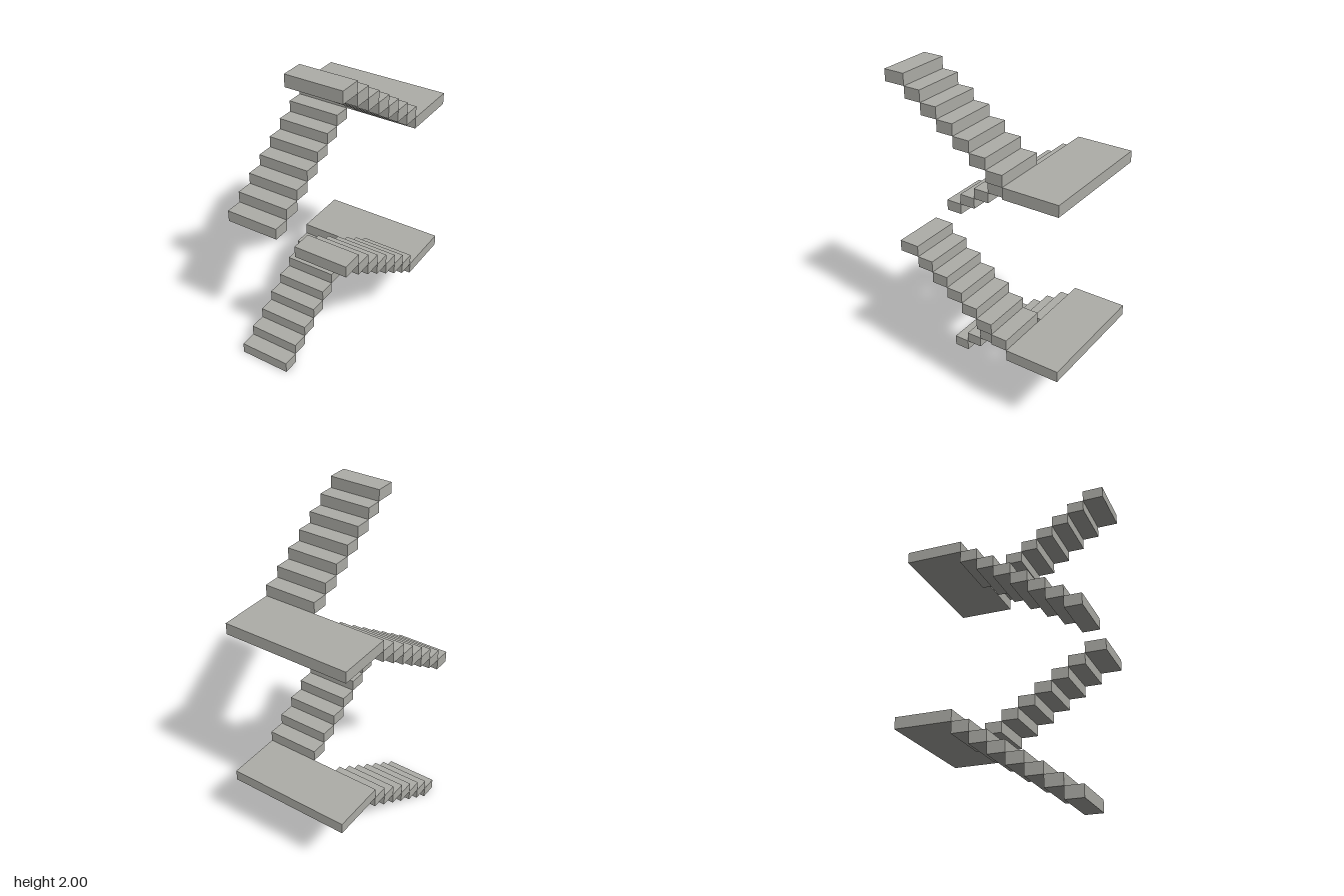
import * as THREE from 'three';

const RISE = 1 / 15;    // height of every step and landing
const TREAD = 0.0997;   // depth of a step
const STEPS = 7;        // steps in each flight
const BACK = -0.208;    // front edge of the landing

const concrete = new THREE.MeshStandardMaterial({ color: 0xaeaea8 });
concrete.name = 'concrete';

// Box given by its limits on each axis
function slab(name, x0, x1, y0, z0, z1) {
  const mesh = new THREE.Mesh(new THREE.BoxGeometry(x1 - x0, RISE, z1 - z0), concrete);
  mesh.position.set((x0 + x1) / 2, y0 + RISE / 2, (z0 + z1) / 2);
  mesh.name = name;
  return mesh;
}

// One storey: flight up to the back, landing, flight up to the front
function createStorey() {
  const storey = new THREE.Group();
  const lower = new THREE.Group();
  const upper = new THREE.Group();
  lower.name = 'lowerFlight';
  upper.name = 'upperFlight';

  for (let i = 0; i < STEPS; i++) {
    const zLow = BACK + (STEPS - i) * TREAD;
    lower.add(slab('step', -0.371, -0.054, i * RISE, zLow - TREAD, zLow));

    // the last step is deeper, to meet the floor
    const zUp = BACK + i * TREAD;
    const depth = i === STEPS - 1 ? 0.123 : TREAD;
    upper.add(slab('step', 0.056, 0.373, (STEPS + 1 + i) * RISE, zUp, zUp + depth));
  }

  const landing = slab('landing', -0.371, 0.373, STEPS * RISE, -0.538, BACK);
  storey.add(lower, landing, upper);
  return storey;
}

export function createModel() {
  const model = new THREE.Group();
  model.name = 'staircase';

  const first = createStorey();
  first.name = 'firstStorey';

  // the second storey is slightly shifted from the first
  const second = createStorey();
  second.name = 'secondStorey';
  second.position.set(-0.006, 1, 0.025);

  model.add(first, second);
  return model;
}
